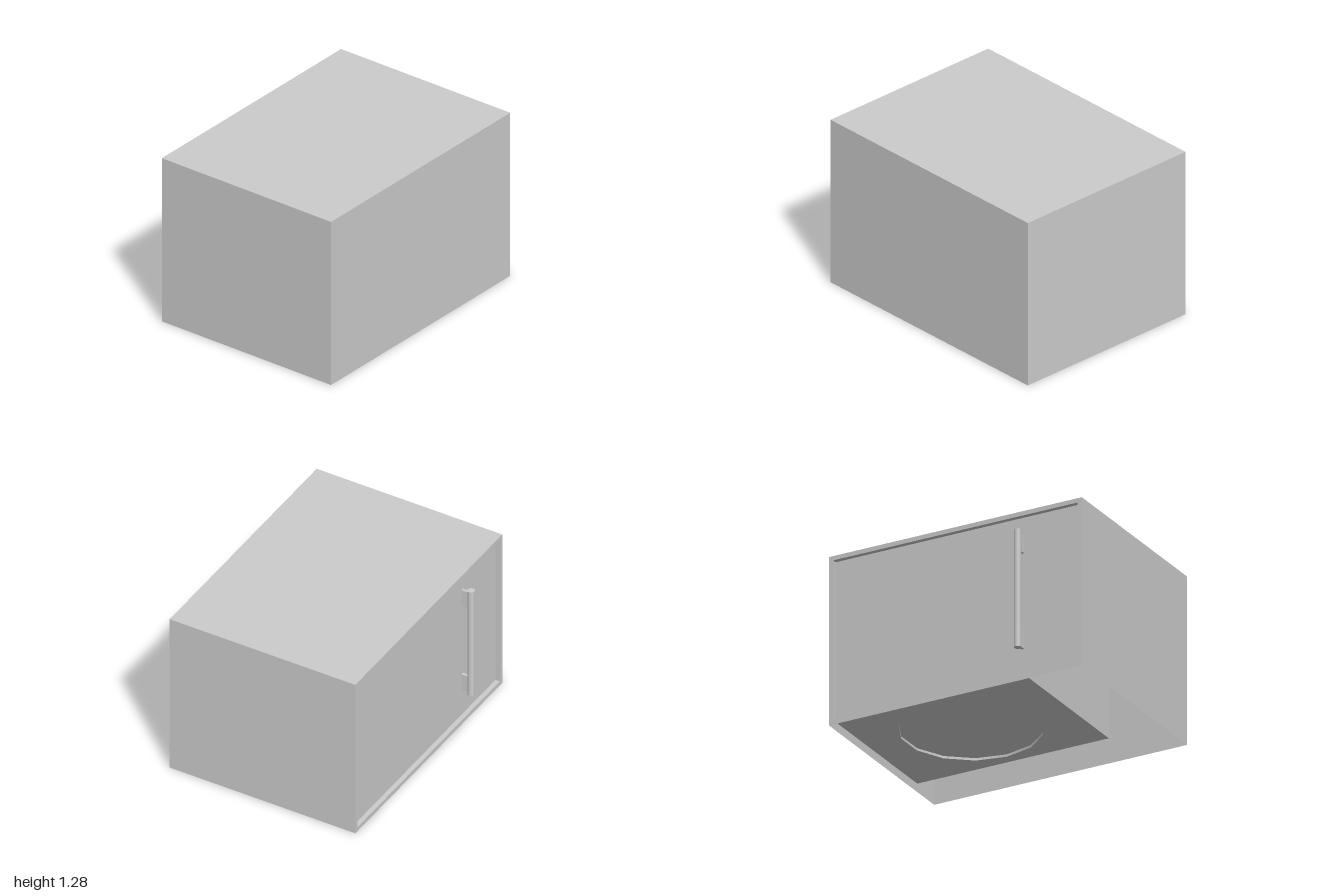
import * as THREE from 'three';

const mat = new THREE.MeshStandardMaterial({ color: 0xcccccc, side: THREE.DoubleSide });

function add(parent, name, geo, x = 0, y = 0, z = 0) {
  const mesh = new THREE.Mesh(geo, mat);
  mesh.name = name;
  mesh.position.set(x, y, z);
  parent.add(mesh);
  return mesh;
}

function group(parent, name) {
  const g = new THREE.Group();
  g.name = name;
  parent.add(g);
  return g;
}

// thin sheets: wall faces z, side faces x, level faces y
const wall = (w, h) => new THREE.PlaneGeometry(w, h);
const side = (d, h) => new THREE.PlaneGeometry(d, h).rotateY(Math.PI / 2);
const level = (w, d) => new THREE.PlaneGeometry(w, d).rotateX(-Math.PI / 2);

function rect(path, x0, y0, x1, y1) {
  path.moveTo(x0, y0);
  path.lineTo(x1, y0);
  path.lineTo(x1, y1);
  path.lineTo(x0, y1);
  path.closePath();
  return path;
}

export function createModel() {
  const model = new THREE.Group();
  model.name = 'microwaveOven';

  const H = 1.282, zF = 0.775, zB = -0.71;
  const D = zF - zB, zM = (zF + zB) / 2;
  const rim = 0.033, doorZ = zB + 0.035;

  // outer casing, open underneath
  const casing = group(model, 'casing');
  add(casing, 'closedWall', wall(2, H), 0, H / 2, zF);
  add(casing, 'topPanel', level(2, D), 0, H, zM);
  for (const s of [-1, 1]) add(casing, 'sidePanel', side(D, H), s, H / 2, zM);

  // narrow rim around the recessed door
  const rimShape = rect(new THREE.Shape(), -1, 0, 1, H);
  rimShape.holes.push(rect(new THREE.Path(), -1 + rim, rim, 1 - rim, H - rim));
  add(casing, 'doorRim', new THREE.ShapeGeometry(rimShape), 0, 0, zB);
  const depth = doorZ - zB, rz = (doorZ + zB) / 2;
  for (const s of [-1, 1]) {
    add(casing, 'rimReturn', side(depth, H - 2 * rim), s * (1 - rim), H / 2, rz);
    add(casing, 'rimReturn', level(2 - 2 * rim, depth), 0, H / 2 + s * (H / 2 - rim), rz);
  }
  add(model, 'door', wall(2 - 2 * rim, H - 2 * rim), 0, H / 2, doorZ);

  // cooking cavity behind the door, leaving a control compartment at -x
  const cavity = group(model, 'cavity');
  const x0 = -0.548, x1 = 1 - rim, y0 = rim, y1 = H - rim, z1 = 0.478;
  const cw = x1 - x0, ch = y1 - y0, cd = z1 - doorZ;
  const cx = (x0 + x1) / 2, cy = (y0 + y1) / 2, cz = (z1 + doorZ) / 2;
  add(cavity, 'cavityTop', level(cw, cd), cx, y1, cz);
  add(cavity, 'cavityEnd', wall(cw, ch), cx, cy, z1);
  for (const x of [x0, x1]) add(cavity, 'cavitySide', side(cd, ch), x, cy, cz);

  // floor with a round cutout pressed up into the turntable
  const tx = 0.214, tz = -0.107, r = 0.503, sides = 14, lift = 0.018;
  const floorShape = rect(new THREE.Shape(), x0, -z1, x1, -doorZ);
  const cutout = new THREE.Path();
  for (let i = 0; i < sides; i++) {
    const a = (i / sides) * Math.PI * 2;
    const x = tx + r * Math.sin(a), y = -tz - r * Math.cos(a);
    if (i) cutout.lineTo(x, y);
    else cutout.moveTo(x, y);
  }
  cutout.closePath();
  floorShape.holes.push(cutout);
  add(cavity, 'cavityFloor', new THREE.ShapeGeometry(floorShape).rotateX(-Math.PI / 2), 0, y0, 0);
  const plate = new THREE.CylinderGeometry(r, r, lift, sides, 1, true);
  add(cavity, 'turntableEdge', plate, tx, y0 + lift / 2, tz);
  const disc = new THREE.CircleGeometry(r, sides, -Math.PI / 2).rotateX(-Math.PI / 2);
  add(cavity, 'turntable', disc, tx, y0 + lift, tz);

  // upright door handle on two brackets
  const handle = group(model, 'handle');
  const hx = -0.513, hz = -0.7475;
  add(handle, 'handleBar', new THREE.CylinderGeometry(0.026, 0.026, 0.895, 24), hx, 0.682, hz);
  for (const y of [0.317, 1.045]) {
    const len = doorZ + 0.73;
    add(handle, 'handleBracket', new THREE.BoxGeometry(0.022, 0.134, len), hx, y, doorZ - len / 2);
  }
  return model;
}
